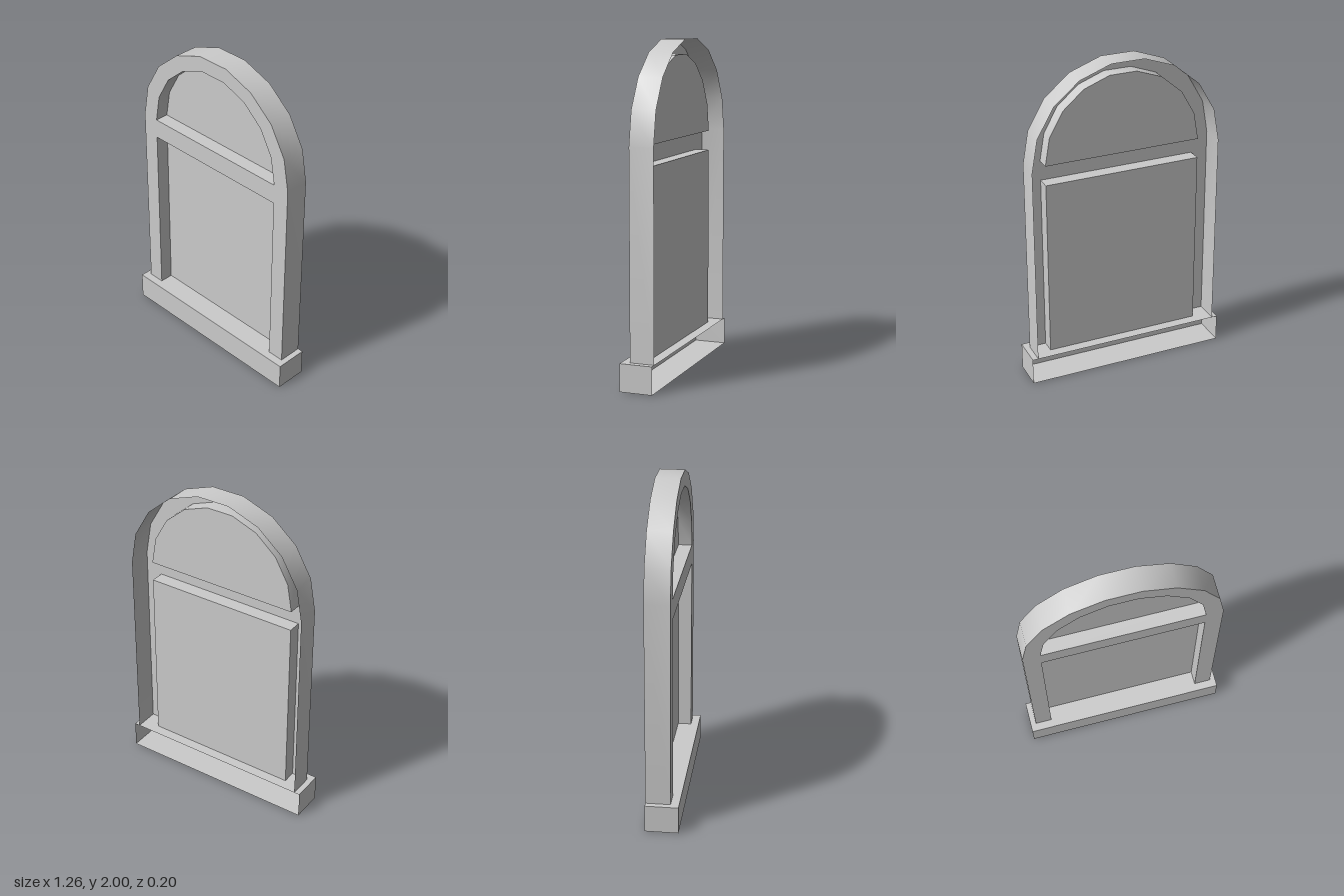
import * as THREE from 'three';
import { toCreasedNormals } from 'three/addons/utils/BufferGeometryUtils.js';

const FRONT = 0.05, BACK = -0.1, PANE = -0.035; // depths along z
const SILL_TOP = 0.168, SPRING = 1.413, TRANSOM = 1.29;
const OUTER = 0.597, INNER = 0.492;

const material = new THREE.MeshStandardMaterial({ color: 0xcccccc, side: THREE.DoubleSide });

// Half-ellipse of nine facets, running from +x over the top to -x
function arch(rx, ry) {
  const points = [];
  for (let i = 0; i <= 9; i++) {
    const a = (i / 9) * Math.PI;
    points.push(new THREE.Vector2(rx * Math.cos(a), SPRING + ry * Math.sin(a)));
  }
  return points;
}

// Strip of wall following a path between two depths; faces the path's right-hand side
function wall(path, z0, z1) {
  const positions = [], index = [];
  path.forEach((p, i) => {
    positions.push(p.x, p.y, z0, p.x, p.y, z1);
    if (i) {
      const a = 2 * (i - 1);
      index.push(a, a + 2, a + 3, a, a + 3, a + 1);
    }
  });
  const geometry = new THREE.BufferGeometry();
  geometry.setAttribute('position', new THREE.Float32BufferAttribute(positions, 3));
  geometry.setIndex(index);
  return toCreasedNormals(geometry, Math.PI / 6);
}

function flat(shape, z) {
  return new THREE.ShapeGeometry(shape).translate(0, 0, z);
}

export function createModel() {
  const model = new THREE.Group();
  const add = (name, geometry) => {
    const mesh = new THREE.Mesh(geometry, material);
    mesh.name = name;
    model.add(mesh);
    return mesh;
  };
  const v = (x, y) => new THREE.Vector2(x, y);

  // Outlines of the frame and its two openings
  const outer = [v(OUTER, SILL_TOP), ...arch(OUTER, 0.596), v(-OUTER, SILL_TOP)];
  const upper = arch(INNER, 0.502);
  const lower = [v(INNER, SILL_TOP), v(INNER, TRANSOM), v(-INNER, TRANSOM), v(-INNER, SILL_TOP)];

  // Frame front, with the lower opening notched out above the sill
  const face = new THREE.Shape([...outer, ...[...lower].reverse()]);
  face.holes.push(new THREE.Path(upper));
  add('frameFront', flat(face, FRONT));
  add('frameOuterWall', wall(outer, BACK, FRONT));

  // Recessed panes and the reveals around them
  add('upperReveal', wall([...upper, upper[0]].reverse(), PANE, FRONT));
  add('lowerReveal', wall([...lower].reverse(), PANE, FRONT));
  add('upperPane', flat(new THREE.Shape(upper), PANE));
  add('lowerPane', flat(new THREE.Shape(lower), PANE));

  // Sill: a box left open at the back (its last face)
  const sill = new THREE.BoxGeometry(1.265, SILL_TOP, 0.2);
  sill.setIndex(Array.from(sill.index.array).slice(0, 30));
  sill.clearGroups();
  add('sill', sill).position.y = SILL_TOP / 2;

  return model;
}
